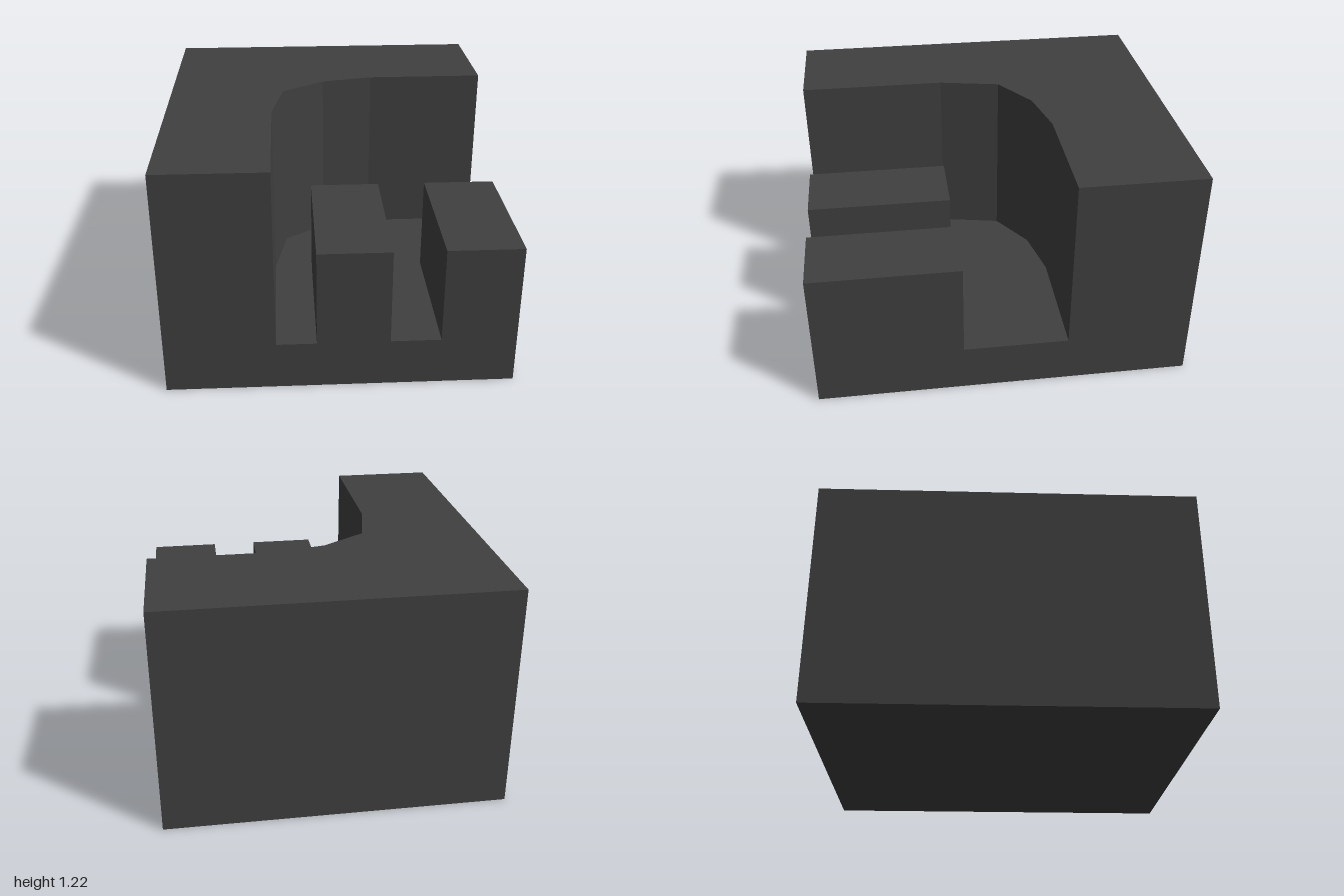
import * as THREE from 'three';

const W = 0.903, D = 1, FLOOR = 0.26, STEP = 0.78, TOP = 1.22;

export function createModel() {
  const group = new THREE.Group();
  const material = new THREE.MeshStandardMaterial({ color: 0x404040, flatShading: true });

  // Extrudes a plan outline of [x, z] points from height y0 up to y1
  const addPrism = (name, plan, y0, y1) => {
    const shape = new THREE.Shape(plan.map(([x, z]) => new THREE.Vector2(x, -z)));
    const geometry = new THREE.ExtrudeGeometry(shape, { depth: y1 - y0, bevelEnabled: false });
    geometry.rotateX(-Math.PI / 2).translate(0, y0, 0);
    const mesh = new THREE.Mesh(geometry, material);
    mesh.name = name;
    group.add(mesh);
  };

  // Faceted inner corner, from the front opening round to the side opening
  const innerEdge = [
    [-0.333, D], [-0.333, 0.21], [-0.268, -0.12],
    [-0.035, -0.277], [0.253, -0.34], [W, -0.34],
  ];

  // Tall L-shaped wall and the low floor that fills its inside
  addPrism('cornerWall', [...innerEdge, [W, -D], [-W, -D], [-W, D]], 0, TOP);
  addPrism('floor', [...innerEdge, [W, D]], 0, FLOOR);

  // Two raised blocks standing on the floor at the front
  for (const [name, x0, x1] of [['middleBlock', -0.125, 0.252], ['leftBlock', 0.513, W]]) {
    addPrism(name, [[x0, 0.22], [x1, 0.22], [x1, D], [x0, D]], FLOOR, STEP);
  }
  return group;
}
